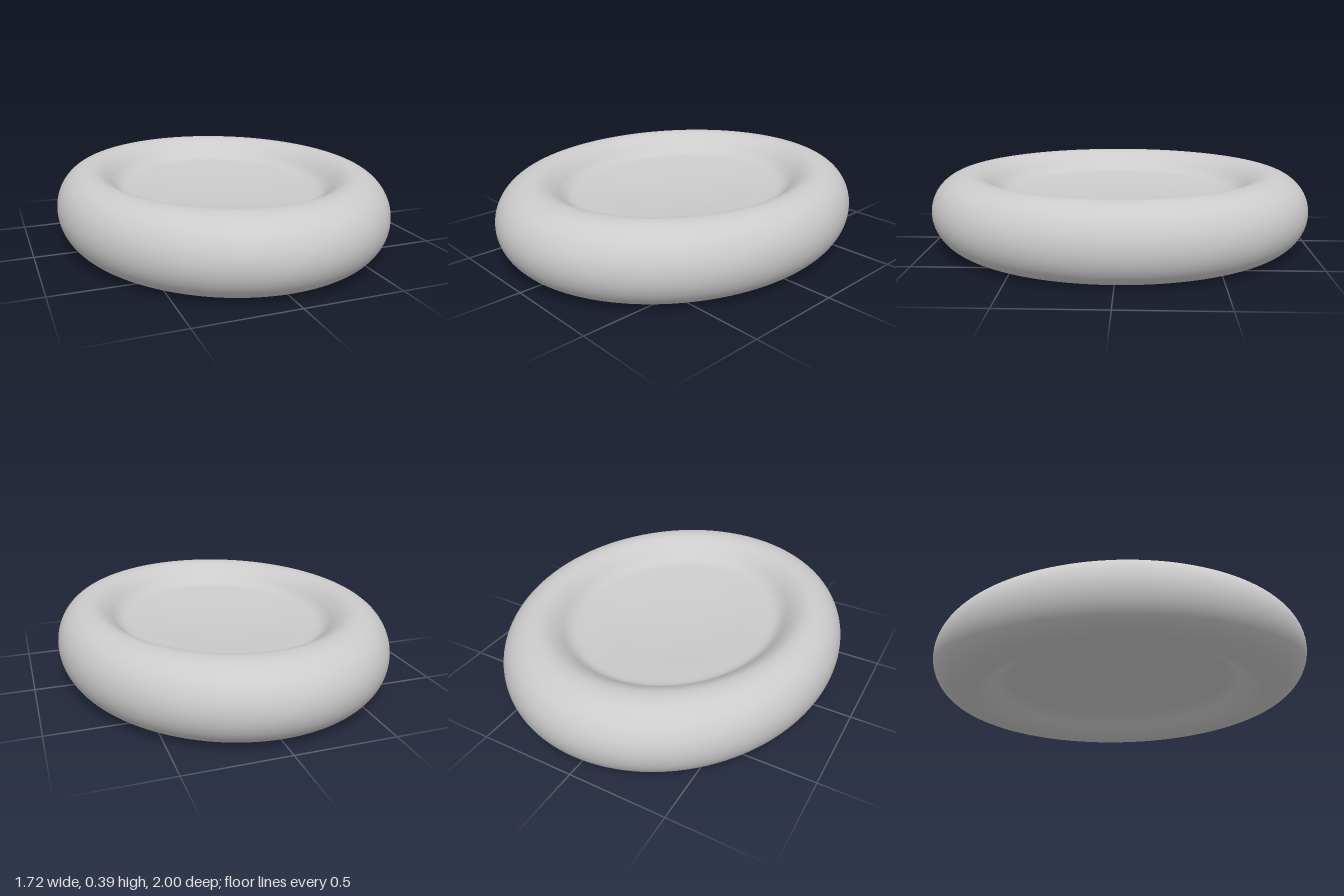
import * as THREE from 'three';

const HALF_HEIGHT = 0.195;
const RIM_CENTRE = 0.8; // radius at which the rim is thickest
const RIM_WIDTH = 0.2;
const X_SCALE = 0.86; // oval plan

// Half thickness of the dished centre, from the axis outwards
const DISH = [
  [0, 0.055], [0.15, 0.057], [0.3, 0.064], [0.45, 0.077], [0.54, 0.084],
  [0.6, 0.092], [0.64, 0.113], [0.68, 0.146], [0.72, 0.173], [0.76, 0.19],
];

function createProfile() {
  const points = DISH.map(([r, h]) => new THREE.Vector2(r, -h));
  // Rounded outer rim, from underneath to the top
  const steps = 16;
  for (let i = 0; i <= steps; i++) {
    const a = -Math.PI / 2 + (Math.PI * i) / steps;
    points.push(new THREE.Vector2(RIM_CENTRE + RIM_WIDTH * Math.cos(a), HALF_HEIGHT * Math.sin(a)));
  }
  // Upper dish mirrors the lower one
  for (const [r, h] of [...DISH].reverse()) points.push(new THREE.Vector2(r, h));
  const smooth = new THREE.SplineCurve(points).getPoints(140);
  smooth.forEach((p) => { p.x = Math.max(0, p.x); });
  return smooth;
}

export function createModel() {
  const model = new THREE.Group();
  model.name = 'dishedOvalDisc';

  // One smooth body: thick rounded rim with a shallow dish on both sides
  const geometry = new THREE.LatheGeometry(createProfile(), 128);
  geometry.scale(X_SCALE, 1, 1);
  geometry.translate(0, HALF_HEIGHT, 0);

  const disc = new THREE.Mesh(geometry, new THREE.MeshStandardMaterial({ color: 0xcccccc }));
  disc.name = 'discBody';
  model.add(disc);
  return model;
}
